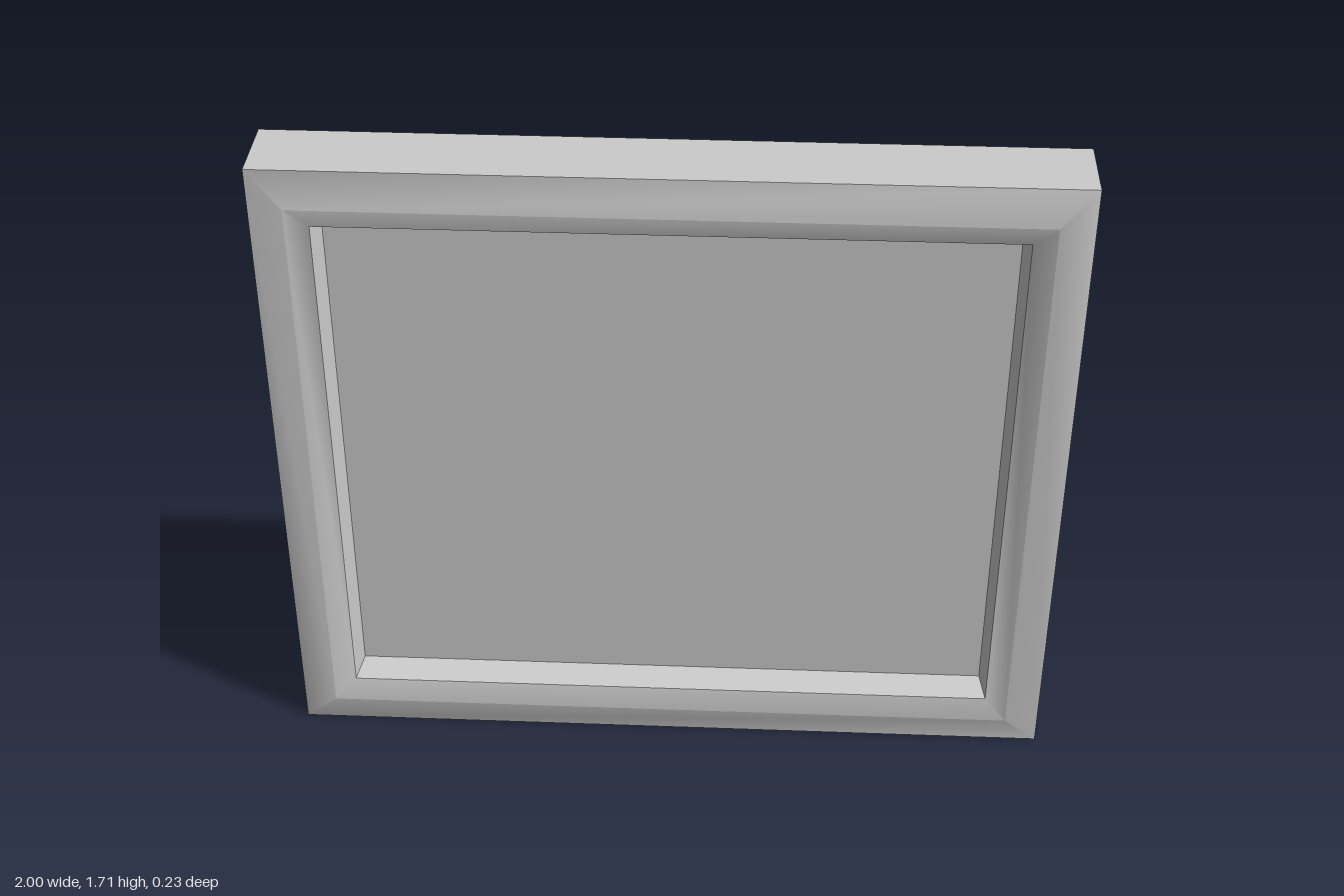
import * as THREE from 'three';
import { toCreasedNormals } from 'three/addons/utils/BufferGeometryUtils.js';

const W = 2, H = 1.71;

// Corners of a rectangle inset from the outer edge, counter-clockwise from the front
function ring([inset, z]) {
  const x = W / 2 - inset, b = inset, t = H - inset;
  return [[-x, b, z], [x, b, z], [x, t, z], [-x, t, z]];
}

function quad(out, a, b, c, d) {
  out.push(...a, ...b, ...c, ...a, ...c, ...d);
}

function toMesh(name, positions) {
  const geometry = new THREE.BufferGeometry();
  geometry.setAttribute('position', new THREE.Float32BufferAttribute(positions, 3));
  const mesh = new THREE.Mesh(
    toCreasedNormals(geometry, THREE.MathUtils.degToRad(36)),
    new THREE.MeshStandardMaterial({ color: 0xcccccc })
  );
  mesh.name = name;
  return mesh;
}

// Mitred frame swept through a list of [inset, z] profile points
function sweep(profile) {
  const out = [];
  for (let i = 0; i < profile.length - 1; i++) {
    const p = ring(profile[i]), q = ring(profile[i + 1]);
    for (let k = 0; k < 4; k++) {
      const n = (k + 1) % 4;
      quad(out, p[k], p[n], q[n], q[k]);
    }
  }
  return out;
}

export function createModel() {
  const group = new THREE.Group();
  group.name = 'framedPanel';

  // Outer side, outer bevel, inward slope and steep inner wall
  group.add(toMesh('frame', sweep([
    [0, -0.115], [0, 0.085], [0.09, 0.115], [0.146, 0.092], [0.16, 0.015],
  ])));

  // Recessed front panel
  const front = [];
  quad(front, ...ring([0.16, 0.015]));
  group.add(toMesh('panel', front));

  // Flat back
  const back = [];
  quad(back, ...ring([0, -0.115]).reverse());
  group.add(toMesh('back', back));

  return group;
}
